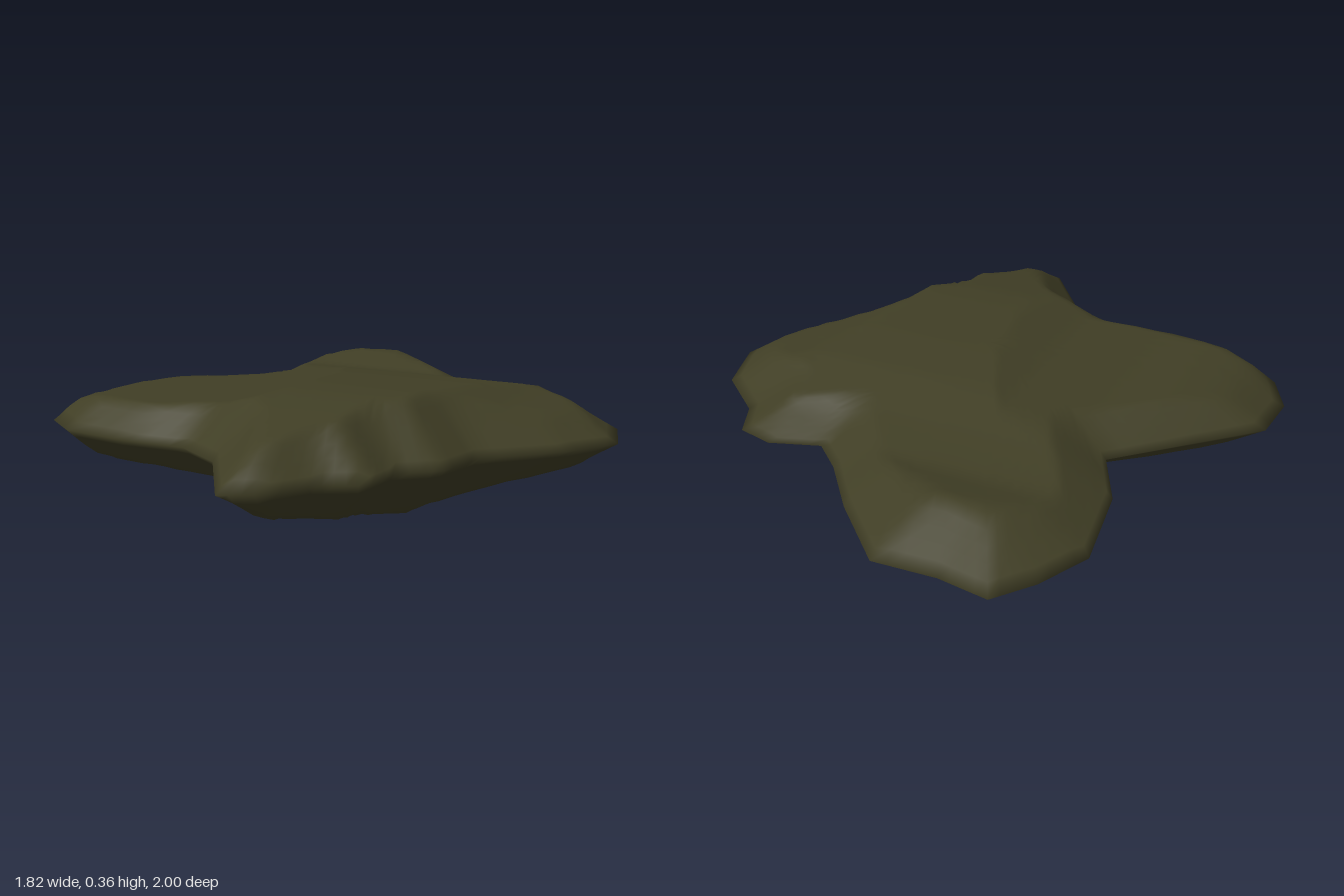
import * as THREE from 'three';

// Plan outline (x, z)
const OUTLINE = [
  [-0.47, -1], [-0.31, -0.975], [-0.11, -0.985], [0.09, -0.79], [0.23, -0.62], [0.33, -0.53],
  [0.49, -0.585], [0.61, -0.555], [0.67, -0.43], [0.84, -0.29], [0.905, -0.09], [0.8, 0.09],
  [0.61, 0.29], [0.58, 0.47], [0.48, 0.56], [0.475, 0.71], [0.36, 0.78], [0.28, 0.925],
  [0.165, 0.995], [-0.05, 0.7], [-0.23, 0.6], [-0.43, 0.615], [-0.7, 0.585], [-0.84, 0.49],
  [-0.91, 0.34], [-0.895, 0.16], [-0.72, -0.01], [-0.5, -0.225], [-0.595, -0.42],
  [-0.64, -0.72], [-0.56, -0.885],
];

// Half thickness limits along x and along z
const BY_X = [[-0.91, 0], [-0.76, 0.08], [-0.64, 0.1], [-0.4, 0.1], [-0.31, 0.112], [-0.17, 0.12],
  [0.02, 0.175], [0.42, 0.178], [0.6, 0.12], [0.8, 0.08], [0.905, 0]];
const BY_Z = [[-1, 0], [-0.77, 0.112], [-0.58, 0.065], [-0.4, 0.09], [-0.2, 0.137], [0, 0.162],
  [0.3, 0.178], [0.42, 0.172], [0.6, 0.145], [0.8, 0.11], [1, 0]];
// Steepness of the rim bevel along z: gentle at the back, steep at the front
const BEVEL = [[-0.45, 0.52], [-0.1, 0.75], [0.2, 0.95]];

function lerpTable(table, t) {
  for (let i = 1; i < table.length; i++) {
    const [a, u] = table[i - 1], [b, v] = table[i];
    if (t <= b) return u + (v - u) * Math.max(0, (t - a) / (b - a));
  }
  return table[table.length - 1][1];
}

function rimDistance(x, z) {
  let best = Infinity;
  OUTLINE.forEach(([ax, az], i) => {
    const [bx, bz] = OUTLINE[(i + 1) % OUTLINE.length];
    const dx = bx - ax, dz = bz - az;
    const t = THREE.MathUtils.clamp(((x - ax) * dx + (z - az) * dz) / (dx * dx + dz * dz), 0, 1);
    best = Math.min(best, Math.hypot(x - ax - t * dx, z - az - t * dz));
  });
  return best;
}

const halfThickness = (x, z) =>
  Math.min(lerpTable(BY_X, x), lerpTable(BY_Z, z), lerpTable(BEVEL, z) * rimDistance(x, z));

// Concentric rings from the top centre out to the rim and back under to the bottom centre
function lobedBody() {
  const cx = 0.05, cz = 0.05, midY = 0.178, split = 4, rings = 24;
  const rim = [];
  OUTLINE.forEach(([ax, az], i) => {
    const [bx, bz] = OUTLINE[(i + 1) % OUTLINE.length];
    for (let k = 0; k < split; k++) rim.push([ax + (bx - ax) * k / split, az + (bz - az) * k / split]);
  });
  const n = rim.length, positions = [], index = [];
  const add = (x, z, side) => positions.push(x, midY + side * halfThickness(x, z), z);

  add(cx, cz, 1);
  for (let r = 1; r < 2 * rings; r++) {
    const side = Math.sign(rings - r);
    const s = 1 - Math.abs(r - rings) / rings;
    for (const [x, z] of rim) add(cx + (x - cx) * s, cz + (z - cz) * s, side);
  }
  add(cx, cz, -1);

  const last = positions.length / 3 - 1;
  for (let i = 0; i < n; i++) {
    const j = (i + 1) % n;
    index.push(0, 1 + j, 1 + i);
    for (let r = 0; r < 2 * rings - 2; r++) {
      const a = 1 + r * n + i, b = 1 + r * n + j;
      index.push(a, b, b + n, a, b + n, a + n);
    }
    index.push(last, last - n + i, last - n + j);
  }
  const geometry = new THREE.BufferGeometry();
  geometry.setAttribute('position', new THREE.Float32BufferAttribute(positions, 3));
  geometry.setIndex(index);
  geometry.computeVertexNormals();
  return geometry;
}

export function createModel() {
  const group = new THREE.Group();
  group.name = 'lobedPad';
  const darkOlive = new THREE.MeshStandardMaterial({ color: 0x403e25 });
  darkOlive.name = 'darkOlive';
  const body = new THREE.Mesh(lobedBody(), darkOlive);
  body.name = 'body';
  group.add(body);
  return group;
}
